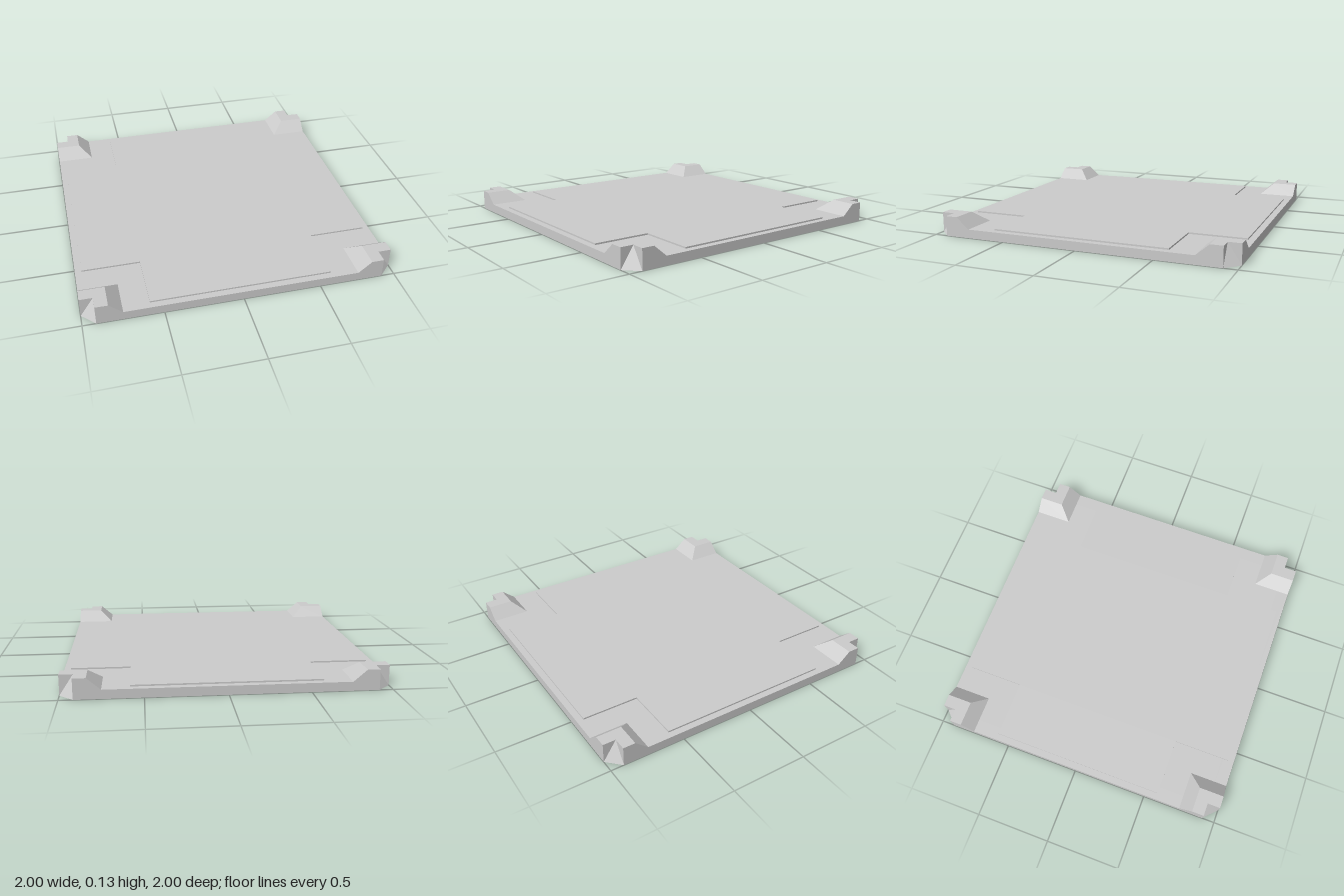
import * as THREE from 'three';
import { ConvexGeometry } from 'three/addons/geometries/ConvexGeometry.js';

const SLAB_TOP = 0.057, PANEL_TOP = 0.067, POST_TOP = 0.13;
const CUT = 0.915;    // inner corner of the chamfer notch
const FOOT = 0.75;    // inner edge of a corner post at its foot
const CREST = 0.835;  // inner edge of a corner post at its top

const material = new THREE.MeshStandardMaterial({ color: 0xcccccc, flatShading: true });

// Flat outline extruded upward from y0 to y1
function plate(points, y0, y1) {
  const shape = new THREE.Shape(points.map(([x, y]) => new THREE.Vector2(x, y)));
  const geometry = new THREE.ExtrudeGeometry(shape, { depth: y1 - y0, bevelEnabled: false });
  return geometry.rotateX(-Math.PI / 2).translate(0, y0, 0);
}

// Square of half-size r whose corners are notched back to n
function notchedSquare(r, n) {
  return [
    [r, -n], [r, n], [n, n], [n, r], [-n, r], [-n, n],
    [-r, n], [-r, -n], [-n, -n], [-n, -r], [n, -r], [n, -n],
  ];
}

function part(name, geometry) {
  const mesh = new THREE.Mesh(geometry, material);
  mesh.name = name;
  return mesh;
}

// Corner post: notched block whose two inner sides slope outward to the slab
function postGeometry() {
  const outline = [[FOOT, FOOT], [1, FOOT], [1, CUT], [CUT, CUT], [CUT, 1], [FOOT, 1]];
  const geometry = plate(outline, SLAB_TOP, POST_TOP);
  const p = geometry.attributes.position;
  for (let i = 0; i < p.count; i++) {
    if (p.getY(i) < POST_TOP - 0.001) continue;
    if (p.getX(i) < FOOT + 0.001) p.setX(i, CREST);
    if (p.getZ(i) > -FOOT - 0.001) p.setZ(i, -CREST);
  }
  geometry.computeVertexNormals();
  return geometry;
}

// Sloping three-sided wedge that fills the notch
function wedgeGeometry() {
  return new ConvexGeometry([
    new THREE.Vector3(CUT, 0, -CUT),
    new THREE.Vector3(1, 0, -CUT),
    new THREE.Vector3(CUT, 0, -1),
    new THREE.Vector3(CUT, POST_TOP, -CUT),
  ]);
}

export function createModel() {
  const model = new THREE.Group();
  model.name = 'cornerPostTray';

  model.add(part('baseSlab', plate(notchedSquare(1, CUT), 0, SLAB_TOP)));
  model.add(part('raisedPanel', plate(notchedSquare(0.957, 0.582), SLAB_TOP, PANEL_TOP)));

  // Four identical corners
  const post = postGeometry();
  const wedge = wedgeGeometry();
  const names = ['backLeftCorner', 'backRightCorner', 'frontRightCorner', 'frontLeftCorner'];
  names.forEach((name, i) => {
    const corner = new THREE.Group();
    corner.name = name;
    corner.add(part('cornerPost', post), part('cornerWedge', wedge));
    corner.rotation.y = i * Math.PI / 2;
    model.add(corner);
  });

  return model;
}
